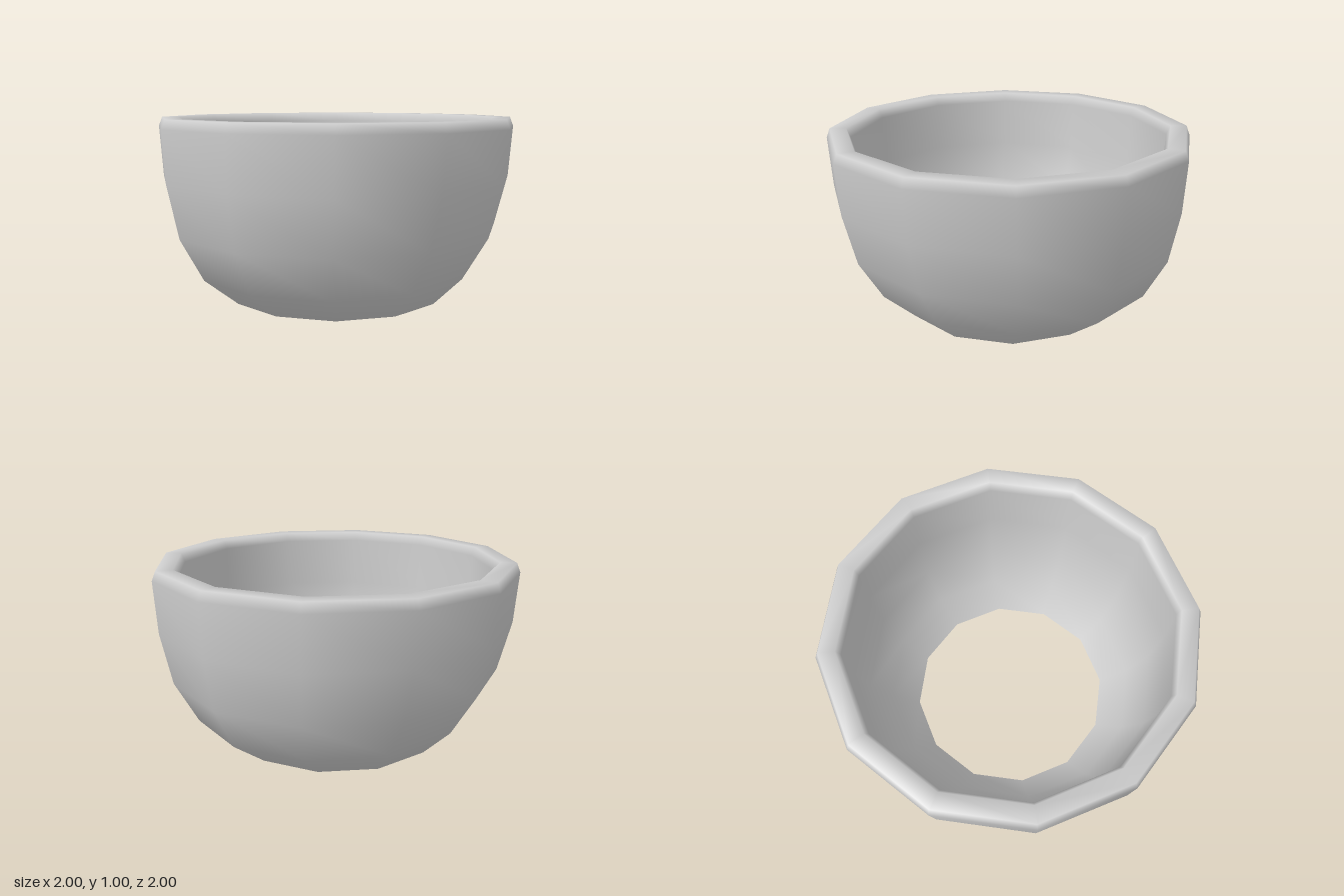
import * as THREE from 'three';
import { mergeVertices } from 'three/addons/utils/BufferGeometryUtils.js';

const SIDES = 12;

// Each ring: [radius along x, radius along z, height]
const OUTER = [
  [0.61, 0.61, 0], [0.77, 0.82, 0.16], [0.905, 0.938, 0.39],
  [0.978, 0.988, 0.67], [1, 1, 0.95],
];
const LIP = [[0.98, 0.98, 1], [0.89, 0.89, 1]];
const INNER = [
  [0.87, 0.87, 0.95], [0.86, 0.87, 0.67], [0.8, 0.83, 0.39],
  [0.7, 0.73, 0.16], [0.58, 0.58, 0],
];

// Twelve-sided revolved surface whose rings may be slightly oval
function ovalLathe(rings) {
  const points = rings.map(([rx, , y]) => new THREE.Vector2(rx, y));
  const lathe = new THREE.LatheGeometry(points, SIDES);
  const pos = lathe.attributes.position;
  for (let i = 0; i < pos.count; i++) {
    const [rx, rz] = rings[i % rings.length];
    pos.setZ(i, pos.getZ(i) * rz / rx);
  }
  // Weld the seam so the shading runs smoothly all the way round
  lathe.deleteAttribute('uv');
  lathe.deleteAttribute('normal');
  const geometry = mergeVertices(lathe, 1e-4);
  geometry.computeVertexNormals();
  return geometry;
}

export function createModel() {
  const model = new THREE.Group();
  model.name = 'bowl';
  const grey = new THREE.MeshStandardMaterial({ color: 0xcccccc });
  grey.name = 'light grey';

  const add = (name, rings) => {
    const mesh = new THREE.Mesh(ovalLathe(rings), grey);
    mesh.name = name;
    model.add(mesh);
  };

  // Outer wall, rounded lip and inner wall in one smooth skin
  add('bowlShell', [...OUTER, ...LIP, ...INNER]);
  // Narrow flat foot around the open bottom
  add('footRing', [INNER[INNER.length - 1], OUTER[0]]);

  return model;
}
